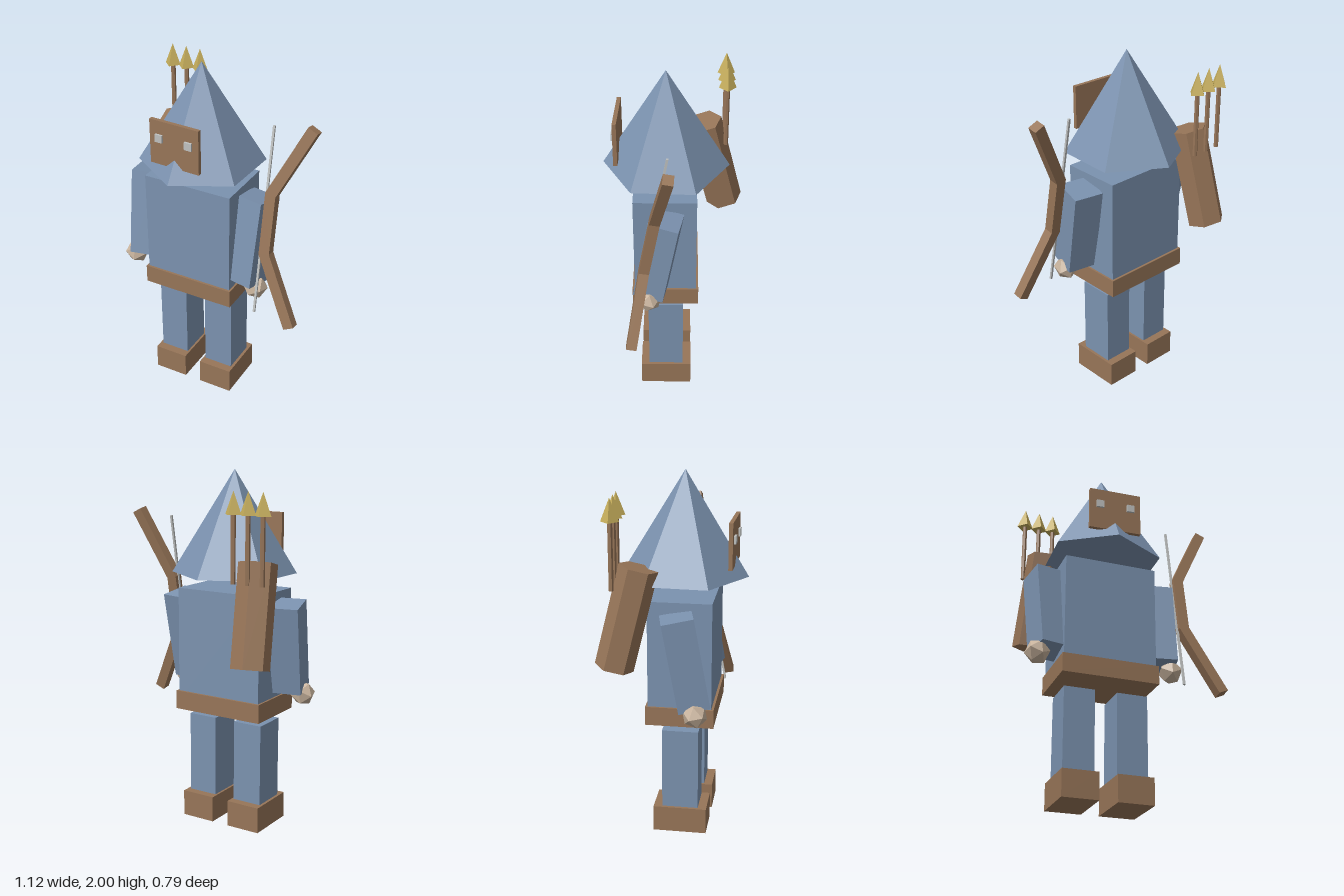
import * as THREE from 'three';

const mat = (name, color) => {
  const m = new THREE.MeshStandardMaterial({ color, flatShading: true });
  m.name = name;
  return m;
};

export function createModel() {
  const cloth = mat('blue cloth', 0x7b92af);
  const leather = mat('brown leather', 0x977558);
  const gold = mat('gold', 0xc6ae5c);
  const skin = mat('pale skin', 0xc8b39d);
  const grey = mat('light grey', 0xbfc1c0);

  const model = new THREE.Group();
  model.name = 'archer';

  const add = (parent, name, geometry, material, x, y, z) => {
    const mesh = new THREE.Mesh(geometry, material);
    mesh.name = name;
    mesh.position.set(x, y, z);
    parent.add(mesh);
    return mesh;
  };
  const box = (parent, name, material, [w, h, d], [x, y, z]) =>
    add(parent, name, new THREE.BoxGeometry(w, h, d), material, x, y, z);

  // Trunk, turned a touch to its right
  const body = new THREE.Group();
  body.name = 'body';
  body.position.set(-0.108, 0, 0.053);
  body.rotation.y = -0.015;
  model.add(body);
  box(body, 'torso', cloth, [0.52, 0.64, 0.345], [0, 1.03, 0]);
  box(body, 'belt', leather, [0.542, 0.105, 0.372], [0, 0.708, 0]);
  for (const [side, s] of [['left', 1], ['right', -1]]) {
    box(body, side + 'Leg', cloth, [0.172, 0.465, 0.2], [s * 0.148, 0.378, 0]);
    box(body, side + 'Boot', leather, [0.2, 0.148, 0.295], [s * 0.15, 0.074, 0]);
  }

  // Head: pointed hood with a mask that the hood's front ridge pierces
  const head = new THREE.Group();
  head.name = 'head';
  head.position.set(-0.107, 0, 0.048);
  head.rotation.y = -0.055;
  model.add(head);
  add(head, 'hood', new THREE.ConeGeometry(0.345, 0.563, 6), cloth, 0, 1.7185, 0);
  box(head, 'mask', leather, [0.295, 0.25, 0.022], [0, 1.63, 0.263]);
  for (const s of [-1, 1])
    box(head, s > 0 ? 'leftEye' : 'rightEye', grey, [0.043, 0.043, 0.02], [s * 0.089, 1.658, 0.276]);

  // Arms swing forward and turn inward
  for (const [side, s, x, z, hx] of [['left', 1, 0.219, 0.095, 0.27], ['right', -1, -0.433, 0.086, -0.495]]) {
    const arm = box(model, side + 'Arm', cloth, [0.17, 0.5, 0.17], [x, 1.05, z]);
    arm.rotation.set(-0.18, -s * 0.2, 0, 'YXZ');
    const hand = add(model, side + 'Hand', new THREE.IcosahedronGeometry(0.07, 0), skin, hx, 0.78, 0.147);
    hand.rotation.set(-0.18, -s * 0.2, 0, 'YXZ');
  }

  // Bow: a mitred three-piece stave and a straight string
  const bow = new THREE.Group();
  bow.name = 'bow';
  bow.position.set(0.34, 1.203, 0.14);
  bow.rotation.x = -0.185;
  model.add(bow);
  const upper = [[-0.03, 0.177], [0.163, 0.573], [0.217, 0.547], [0.03, 0.163]];
  const lower = upper.map(([x, y]) => [x, -y]).reverse();
  const outline = [...upper, ...lower].map(([x, y]) => new THREE.Vector2(x, y));
  const stave = new THREE.ExtrudeGeometry(new THREE.Shape(outline), { depth: 0.056, bevelEnabled: false });
  stave.translate(0, 0, -0.028);
  add(bow, 'bowStave', stave, leather, 0, 0, 0);
  box(bow, 'bowString', grey, [0.012, 1.07, 0.012], [-0.031, 0, 0]);

  // Quiver leaning across the back
  const top = new THREE.Vector3(-0.378, 1.535, -0.16);
  const bottom = new THREE.Vector3(-0.412, 0.995, -0.292);
  const axis = top.clone().sub(bottom);
  const barrel = new THREE.CylinderGeometry(0.105, 0.105, axis.length(), 6);
  barrel.rotateY(0.14);
  const quiver = add(model, 'quiver', barrel, leather, 0, 0, 0);
  quiver.position.copy(top).add(bottom).multiplyScalar(0.5);
  quiver.quaternion.setFromUnitVectors(new THREE.Vector3(0, 1, 0), axis.normalize());

  // Three upright arrows
  for (let i = 0; i < 3; i++) {
    const x = -0.475 + i * 0.0865;
    add(model, 'arrowShaft', new THREE.CylinderGeometry(0.013, 0.013, 0.36, 6), leather, x, 1.615, -0.285);
    add(model, 'arrowHead', new THREE.ConeGeometry(0.048, 0.12, 4), gold, x, 1.852, -0.285);
  }
  return model;
}
